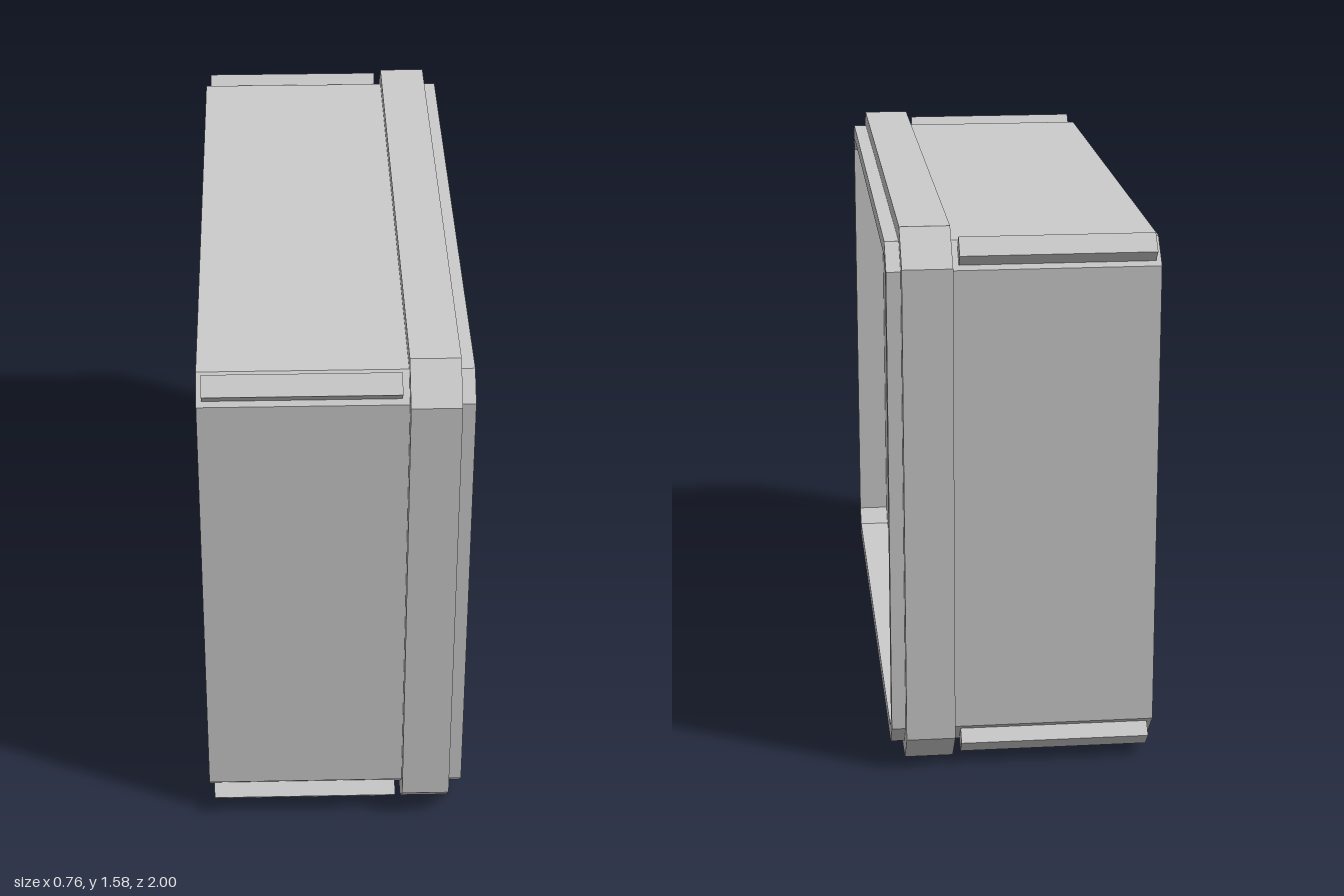
import * as THREE from 'three';

const MID_Y = 0.791;
const material = new THREE.MeshStandardMaterial({ color: 0xcccccc, flatShading: true });

// Rectangle outline (half width w, from y0 to y1) with separate lower and upper corner cuts
function outline(Type, w, y0, y1, low, high = low) {
  const corners = [
    [-w + low, y0], [w - low, y0], [w, y0 + low], [w, y1 - high],
    [w - high, y1], [-w + high, y1], [-w, y1 - high], [-w, y0 + low],
  ];
  const points = corners
    .map(([x, y]) => new THREE.Vector2(x, y))
    .filter((p, i, all) => i === 0 || p.distanceTo(all[i - 1]) > 1e-5);
  return new Type(points);
}

// Outline centred on the case's mid height
const centred = (Type, w, h, cut) => outline(Type, w, MID_Y - h, MID_Y + h, cut);

// Extrude an outline with holes along x, from x0 to x1
function slab(name, shape, holes, x0, x1) {
  shape.holes.push(...holes);
  const geometry = new THREE.ExtrudeGeometry(shape, { depth: x1 - x0, bevelEnabled: false });
  geometry.rotateY(Math.PI / 2).translate(x0, 0, 0);
  const mesh = new THREE.Mesh(geometry, material);
  mesh.name = name;
  return mesh;
}

export function createModel() {
  const group = new THREE.Group();
  group.name = 'shelvedCase';
  const body = () => centred(THREE.Shape, 0.955, 0.747, 0.07);

  // Closed back, compartment block with shelf between openings, and raised front lip
  group.add(slab('backPanel', body(), [], -0.38, -0.155));
  group.add(slab('compartments', body(), [
    outline(THREE.Path, 0.742, 0.21, 0.797, 0.04, 0),
    outline(THREE.Path, 0.742, 0.866, 1.373, 0, 0.04),
  ], -0.155, 0.285));
  group.add(slab('frontLip', body(), [centred(THREE.Path, 0.914, 0.704, 0.045)], 0.285, 0.38));

  // Wide band around the case near its open side
  group.add(slab('rimBand', centred(THREE.Shape, 1, 0.791, 0.098),
    [centred(THREE.Path, 0.935, 0.727, 0.06)], 0.2, 0.34));

  // Guard strips set into the four long chamfered edges
  const stripGeometry = new THREE.BoxGeometry(0.545, 0.063, 0.1);
  for (const sz of [1, -1]) {
    for (const sy of [1, -1]) {
      const strip = new THREE.Mesh(stripGeometry, material);
      strip.name = 'cornerStrip';
      const inset = 0.05 * Math.SQRT1_2;
      strip.position.set(-0.0925, MID_Y + sy * (0.744 - inset), sz * (0.953 - inset));
      strip.rotation.x = -sy * sz * Math.PI / 4;
      group.add(strip);
    }
  }
  return group;
}
